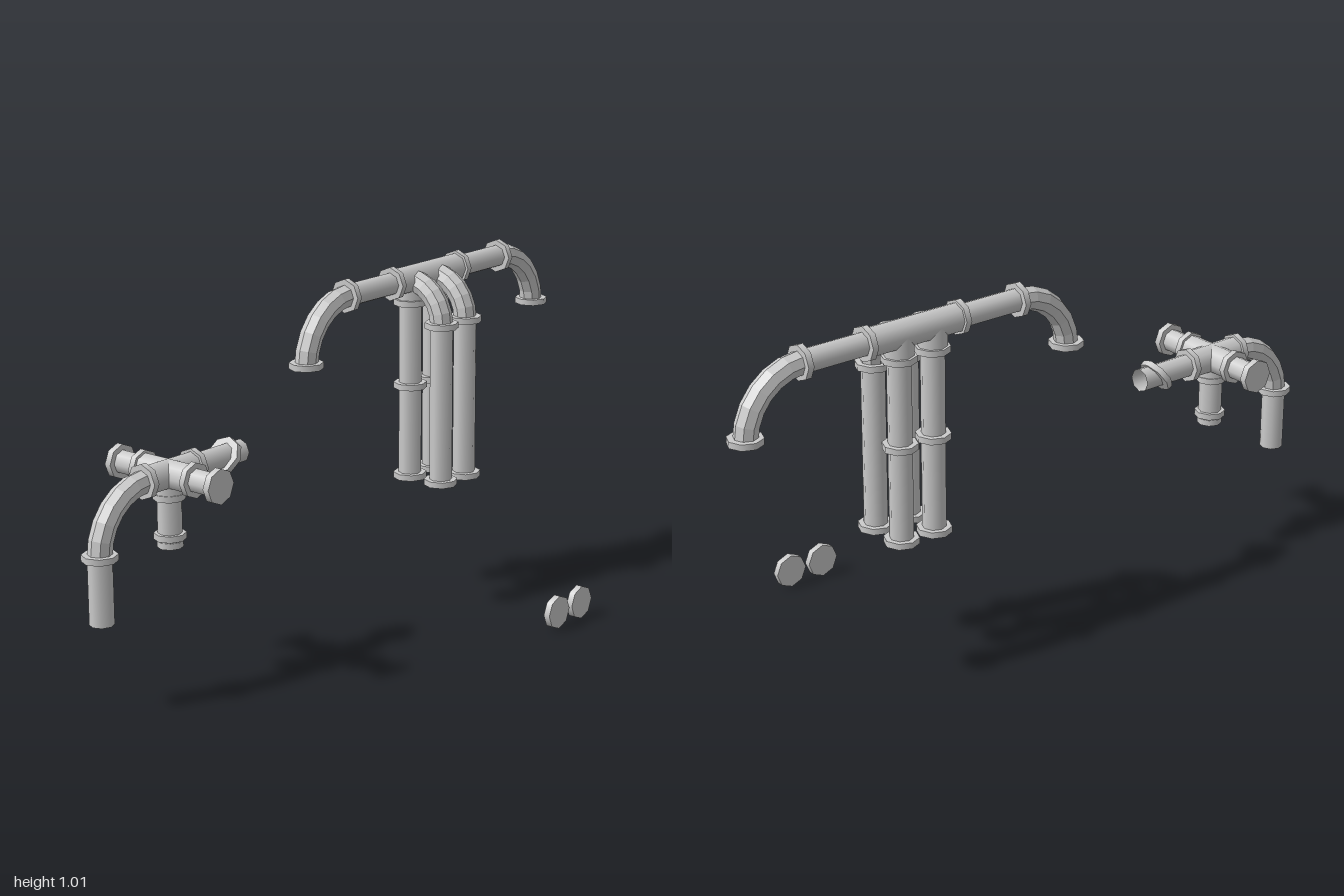
import * as THREE from 'three';
import { toCreasedNormals } from 'three/addons/utils/BufferGeometryUtils.js';

const SIDES = 8, PIPE = 0.034, FITTING = 0.042, FLANGE = 0.05, THICK = 0.018;
const smooth = new THREE.MeshStandardMaterial({ color: 0xcccccc, side: THREE.DoubleSide });
const faceted = new THREE.MeshStandardMaterial({ color: 0xcccccc, side: THREE.DoubleSide, flatShading: true });
const UP = new THREE.Vector3(0, 1, 0);
const X = [1, 0, 0], Y = [0, 1, 0], Z = [0, 0, 1];

function add(group, name, geometry, material, position) {
  const mesh = new THREE.Mesh(geometry, material);
  mesh.name = name;
  mesh.position.set(...position);
  group.add(mesh);
  return mesh;
}

// Turn a part made along y to point along another axis, keeping octagon corners on the axes
function aim(mesh, axis) {
  mesh.quaternion.setFromUnitVectors(UP, new THREE.Vector3(...axis).normalize());
  return mesh;
}

// Open tube between two points
function pipe(group, name, from, to, radius = PIPE) {
  const a = new THREE.Vector3(...from), b = new THREE.Vector3(...to);
  const geometry = new THREE.CylinderGeometry(radius, radius, a.distanceTo(b), SIDES, 1, true);
  const mesh = add(group, name, geometry, smooth, a.clone().add(b).multiplyScalar(0.5).toArray());
  return aim(mesh, b.sub(a).toArray());
}

// Ring with a square section and a hole for the pipe
function flange(group, name, position, axis, radius = FLANGE) {
  const h = THICK / 2, inner = PIPE - 0.004;
  const profile = [[inner, -h], [radius, -h], [radius, h], [inner, h], [inner, -h]]
    .map(([x, y]) => new THREE.Vector2(x, y));
  const geometry = toCreasedNormals(new THREE.LatheGeometry(profile, SIDES), 1);
  return aim(add(group, name, geometry, smooth, position), axis);
}

// Closed octagonal disc
function cap(group, name, position, axis) {
  return aim(add(group, name, new THREE.CylinderGeometry(FLANGE, FLANGE, 0.02, SIDES), smooth, position), axis);
}

// Quarter bend about a centre
function elbow(group, name, centre, bend, rotation) {
  const geometry = new THREE.TorusGeometry(bend, PIPE, SIDES, 6, Math.PI / 2);
  add(group, name, geometry, faceted, centre).rotation.set(...rotation);
}

function createManifold() {
  const g = new THREE.Group();
  g.name = 'pipeManifold';
  const mid = 0.415, y = 0.965, z = -0.185, bend = 0.177;

  // Double tee in the middle of the header
  pipe(g, 'headerTee', [mid - 0.15, y, z], [mid + 0.15, y, z], FITTING);

  // Mirrored header arms ending in downward elbows
  for (const s of [-1, 1]) {
    flange(g, 'teeFlange', [mid + s * 0.154, y, z], X);
    pipe(g, 'headerArm', [mid + s * 0.154, y, z], [mid + s * 0.358, y, z]);
    flange(g, 'armFlange', [mid + s * 0.358, y, z], X);
    elbow(g, 'headerElbow', [mid + s * 0.358, y - bend, z], bend, [0, 0, s < 0 ? Math.PI / 2 : 0]);
    flange(g, 'elbowFlange', [mid + s * (0.358 + bend), 0.795, z], Y);
  }

  // Four hanging pipes: rear pair below the tee, front pair on elbows
  for (const x of [0.348, 0.46]) {
    pipe(g, 'teeOutlet', [x, 0.895, z], [x, y, z], FITTING);
    pipe(g, 'rearPipe', [x, 0.355, z], [x, 0.9, z]);
    for (const fy of [0.363, 0.643, 0.897]) flange(g, 'rearPipeFlange', [x, fy, z], Y);

    const fz = -0.067;
    elbow(g, 'frontElbow', [x, 0.845, z], fz - z, [0, -Math.PI / 2, 0]);
    pipe(g, 'frontPipe', [x, 0.355, fz], [x, 0.845, fz]);
    for (const fy of [0.363, 0.843]) flange(g, 'frontPipeFlange', [x, fy, fz], Y);
  }
  return g;
}

function createJunction() {
  const g = new THREE.Group();
  g.name = 'pipeJunction';
  const x = -0.684, y = 0.607, z = -0.185, reach = 0.095, bend = 0.17;

  // Cross fitting
  pipe(g, 'crossBodySide', [x - reach, y, z], [x + reach, y, z], FITTING);
  pipe(g, 'crossBodyDepth', [x, y, z - reach], [x, y, z + reach], FITTING);
  pipe(g, 'crossBodyDown', [x, y - 0.065, z], [x, y, z], FITTING);

  // Capped front and back stubs
  for (const s of [-1, 1]) {
    flange(g, 'crossFlange', [x + s * reach, y, z], X);
    flange(g, 'stubFlange', [x, y, z + s * reach], Z);
    pipe(g, 'stub', [x, y, z + s * reach], [x, y, z + s * 0.18]);
    cap(g, 'stubCap', [x, y, z + s * 0.183], Z);
  }

  // Short outlet underneath
  pipe(g, 'lowerOutlet', [x, 0.4, z], [x, 0.545, z]);
  flange(g, 'lowerFlange', [x, 0.545, z], Y, 0.045);
  flange(g, 'lowerEndFlange', [x, 0.432, z], Y, 0.045);
  flange(g, 'lowerRim', [x, 0.409, z], Y, 0.036);

  // Broken arm with a loose, tilted ring
  pipe(g, 'brokenArm', [x + reach, y, z], [-0.4, y, z]);
  flange(g, 'looseRing', [-0.465, y, z], [0.83, -0.55, 0], 0.054);

  // Bend and drop pipe
  elbow(g, 'dropElbow', [x - reach, y - bend, z], bend, [0, 0, Math.PI / 2]);
  flange(g, 'dropFlange', [x - reach - bend, 0.438, z], Y);
  pipe(g, 'dropPipe', [x - reach - bend, 0.25, z], [x - reach - bend, 0.438, z]);
  return g;
}

export function createModel() {
  const model = new THREE.Group();
  model.name = 'brokenPipes';
  model.add(createManifold(), createJunction());

  // Loose end caps standing on the ground
  for (const x of [0.348, 0.46]) cap(model, 'looseCap', [x, 0.05, 0.368], Z);
  return model;
}
